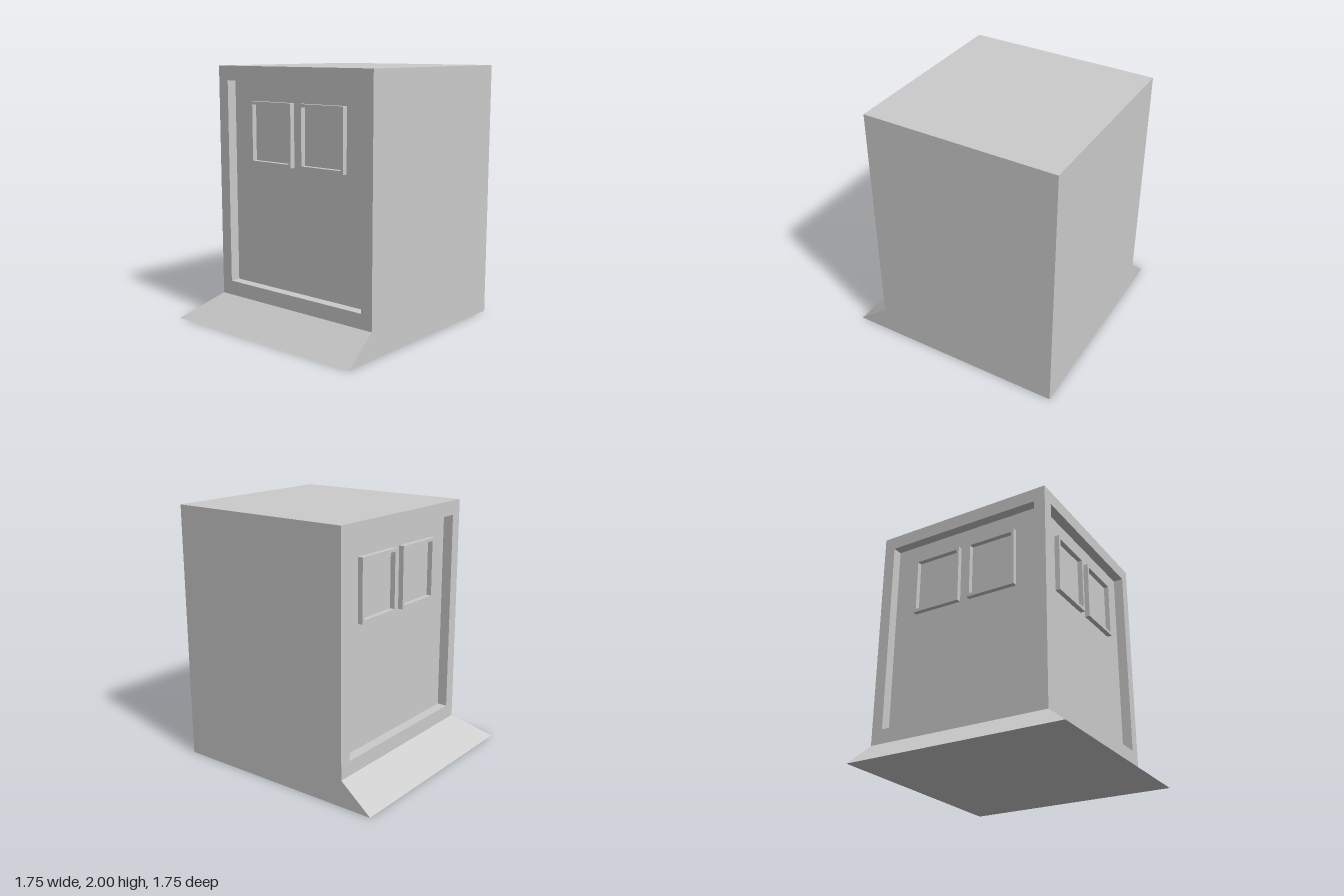
import * as THREE from 'three';

const SKIRT = 0.205; // height of the flared base
const TOP = 2;
const DEPTH = 0.08; // how far the panels are sunk into the walls

const material = new THREE.MeshStandardMaterial({ color: 0xcccccc, flatShading: true });

function part(geometry, name) {
  const mesh = new THREE.Mesh(geometry, material);
  mesh.name = name;
  return mesh;
}

// Rectangular plate with a rectangular hole; both given as [x0, x1, y0, y1]
function frame(outer, inner, depth, name) {
  const corners = ([x0, x1, y0, y1]) =>
    [[x0, y0], [x1, y0], [x1, y1], [x0, y1]].map(([x, y]) => new THREE.Vector2(x, y));
  const shape = new THREE.Shape(corners(outer));
  shape.holes.push(new THREE.Path(corners(inner).reverse()));
  return part(new THREE.ExtrudeGeometry(shape, { depth, bevelEnabled: false }), name);
}

// Wall facing +z, centred on x = 0, with a sunken panel and two framed windows
function panelledWall(name, rightEdge) {
  const wall = new THREE.Group();
  wall.name = name;
  wall.add(frame([-0.75, rightEdge, SKIRT, TOP], [-0.656, 0.656, 0.318, 1.89], DEPTH, 'panelSurround'));
  for (const side of [-1, 1]) {
    const x = side * 0.249;
    const window = frame(
      [x - 0.207, x + 0.207, 1.264, 1.738],
      [x - 0.185, x + 0.185, 1.29, 1.715],
      0.04, 'windowFrame');
    wall.add(window);
  }
  return wall;
}

export function createModel() {
  const model = new THREE.Group();
  model.name = 'cornerBlock';

  // Flared base: the top edge is pulled in on the front and on the -x side
  const skirt = new THREE.BoxGeometry(1.75, SKIRT, 1.75);
  const p = skirt.attributes.position;
  for (let i = 0; i < p.count; i++) {
    if (p.getY(i) < 0) continue;
    if (p.getX(i) < 0) p.setX(i, -0.625);
    if (p.getZ(i) > 0) p.setZ(i, 0.625);
  }
  skirt.translate(0, SKIRT / 2, 0);
  skirt.computeVertexNormals();
  model.add(part(skirt, 'flaredBase'));

  // Solid core, its front and -x faces form the sunken panels
  const width = 1.5 - DEPTH;
  const core = part(new THREE.BoxGeometry(width, TOP - SKIRT, width), 'core');
  core.position.set(0.875 - width / 2, (TOP + SKIRT) / 2, -0.875 + width / 2);
  model.add(core);

  // Front wall runs the full width, the side wall butts against its back
  const front = panelledWall('frontWall', 0.75);
  front.position.set(0.125, 0, 0.625 - DEPTH);
  model.add(front);

  const side = panelledWall('sideWall', 0.75 - DEPTH);
  side.rotation.y = -Math.PI / 2;
  side.position.set(-0.625 + DEPTH, 0, -0.125);
  model.add(side);

  return model;
}
